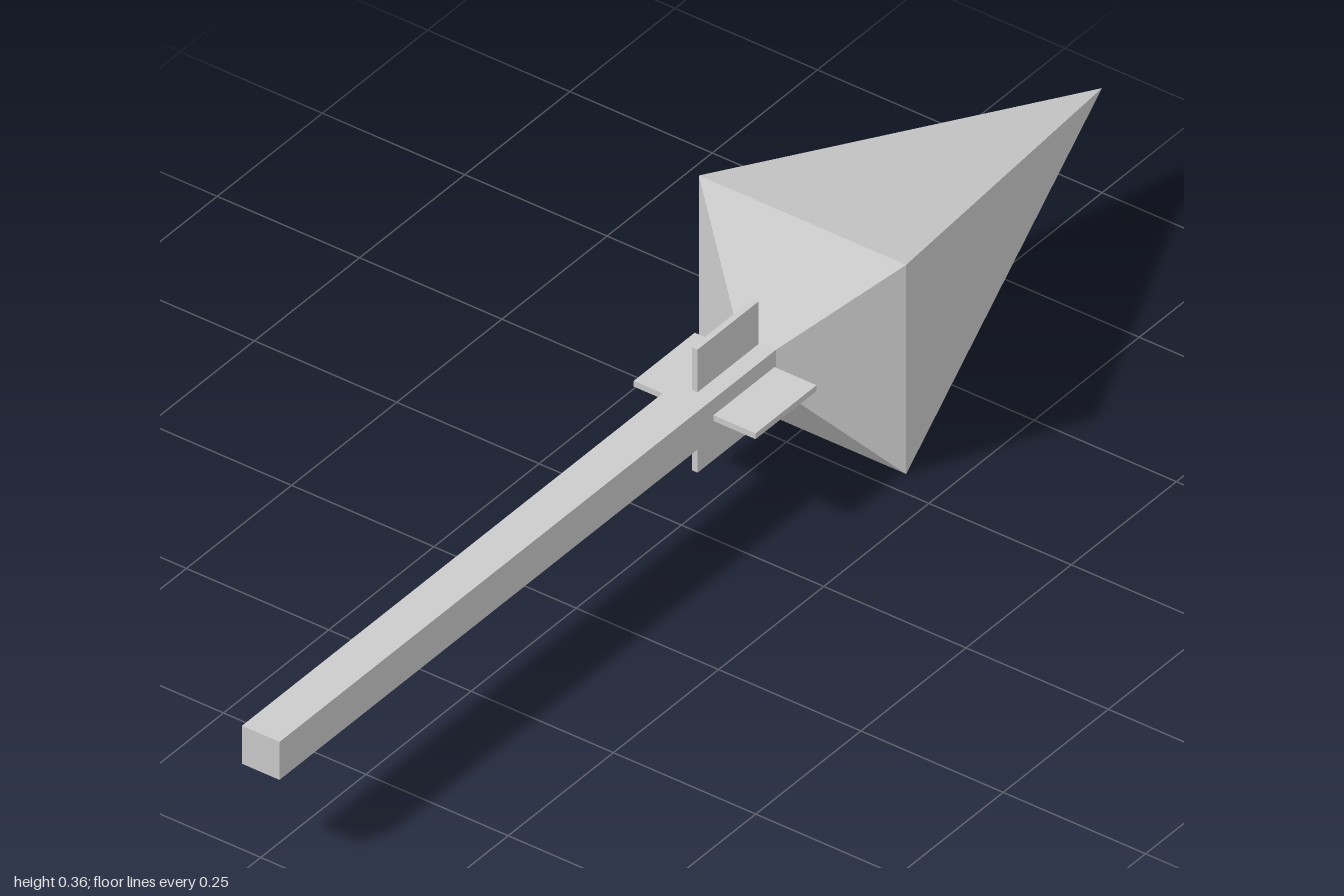
import * as THREE from 'three';

const CENTER_Y = 0.182;
const SHAFT = 0.066; // shaft width
const NECK_Z = -0.18, SHOULDER_Z = -0.288, TIP_Z = -1;

export function createModel() {
  const group = new THREE.Group();
  const material = new THREE.MeshStandardMaterial({ color: 0xcccccc, flatShading: true });

  const add = (name, geometry, parent = group) => {
    const mesh = new THREE.Mesh(geometry, material);
    mesh.name = name;
    parent.add(mesh);
    return mesh;
  };

  // Square frustum along z, from half-width a at z0 back to half-width b at z1
  const taper = (a, z0, b, z1, open) =>
    new THREE.CylinderGeometry(b * Math.SQRT2, a * Math.SQRT2, z0 - z1, 4, 1, open, Math.PI / 4)
      .rotateX(-Math.PI / 2)
      .translate(0, CENTER_Y, (z0 + z1) / 2);

  // Long square shaft
  add('shaft', new THREE.BoxGeometry(SHAFT, SHAFT, 1 - NECK_Z).translate(0, CENTER_Y, (1 + NECK_Z) / 2));

  // Pyramid point and the shorter taper joining it to the shaft
  add('headPoint', taper(0.182, SHOULDER_Z, 0, TIP_Z, true));
  add('headNeck', taper(SHAFT / 2, NECK_Z, 0.182, SHOULDER_Z, true));

  // Four thin fins around the shaft
  const fins = new THREE.Group();
  fins.name = 'fins';
  fins.position.set(0, CENTER_Y, -0.104);
  group.add(fins);
  const reach = 0.107, inner = SHAFT / 2;
  for (let i = 0; i < 4; i++) {
    const fin = add('fin', new THREE.BoxGeometry(reach - inner, 0.01, 0.145).translate((reach + inner) / 2, 0, 0), fins);
    fin.rotation.z = (i * Math.PI) / 2;
  }

  return group;
}
